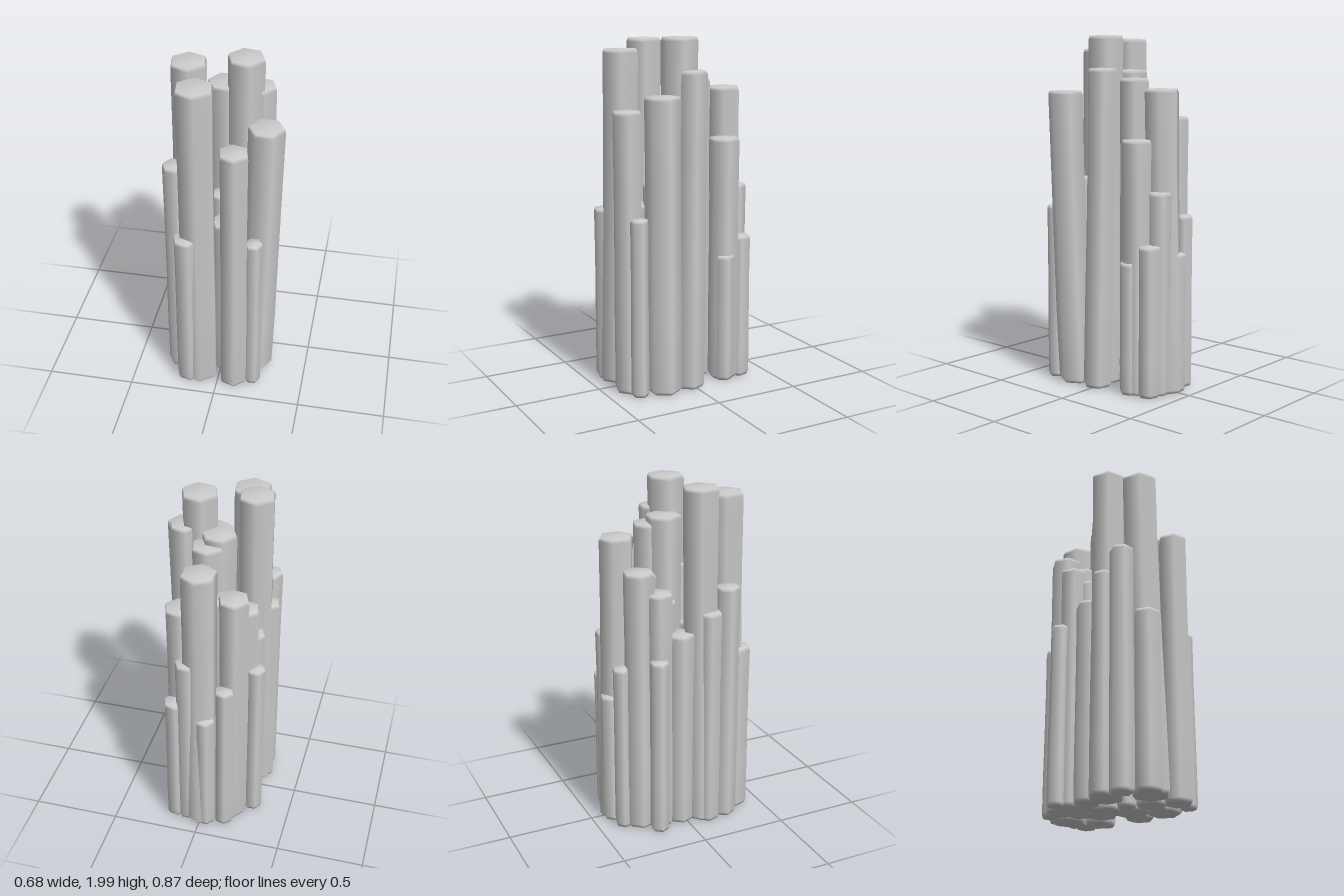
import * as THREE from 'three';

// Large columns that lean: top x, top z, radius, height, turn in degrees, base shift x, base shift z
const LEANING = [
  [0.1, 0.03, 0.105, 2, 20, -0.02, 0.02],
  [-0.195, 0.1, 0.105, 1.985, 10, -0.02, 0.01],
  [-0.13, 0.28, 0.11, 1.93, 8, 0.015, 0.045],
  [0.24, 0.21, 0.1, 1.695, 30, -0.045, -0.03],
  [0.175, -0.01, 0.085, 1.82, 20, 0.02, 0.025],
  [0.015, -0.305, 0.1, 1.71, 0, -0.01, -0.035],
];

// Upright columns: x, z, radius, height
const UPRIGHT = [
  [0.09, 0.35, 0.085, 1.61],
  [0.145, -0.235, 0.087, 1.435],
  [-0.025, -0.04, 0.1, 1.81],
  [0.02, -0.11, 0.092, 1.765],
  [-0.16, -0.25, 0.088, 1.55],
  [-0.07, -0.19, 0.08, 1.5],
  [-0.205, -0.15, 0.078, 1.43],
  [-0.14, -0.1, 0.075, 1.36],
  [-0.255, 0.245, 0.068, 1.43],
  [-0.27, 0.13, 0.068, 1.3],
  [-0.21, -0.02, 0.08, 1.18],
  [-0.275, -0.18, 0.053, 1.06],
  [-0.135, -0.345, 0.055, 1],
  [-0.03, -0.375, 0.058, 0.8],
  [0.08, -0.345, 0.066, 1.15],
  [0.155, -0.335, 0.065, 0.86],
  [0.185, -0.22, 0.056, 0.76],
  [0.2, 0.335, 0.05, 1.03],
  [-0.175, 0.355, 0.076, 1.03],
  [0.03, 0.22, 0.088, 1.08],
  [0.1, 0.205, 0.052, 1.2],
  [-0.03, 0.1, 0.055, 1.18],
  [0.08, 0.1, 0.066, 1.5],
];

// Six-sided shaft with softened ends, leaning from its base to its top
function columnGeometry(r, h, turn, dx, dz) {
  const base = 0.008;
  const profile = [
    [0, base], [r * 0.85, base], [r, base + 0.02],
    [r * 1.01, h * 0.25], [r * 0.98, h * 0.5], [r * 0.97, h * 0.75],
    [r, h - 0.025], [r * 0.93, h - 0.005], [0, h],
  ].map(([x, y]) => new THREE.Vector2(x, y));
  const geo = new THREE.LatheGeometry(profile, 6);
  geo.rotateY(THREE.MathUtils.degToRad(turn));
  const p = geo.attributes.position;
  for (let i = 0; i < p.count; i++) {
    const t = Math.max(0, 1 - p.getY(i) / h) ** 1.3;
    p.setX(i, p.getX(i) + dx * t);
    p.setZ(i, p.getZ(i) + dz * t);
  }
  return geo;
}

export function createModel() {
  const group = new THREE.Group();
  group.name = 'rockColumnCluster';
  const stone = new THREE.MeshStandardMaterial({ color: 0xcccccc });

  const addColumn = (name, x, z, r, h, turn, dx, dz) => {
    const column = new THREE.Mesh(columnGeometry(r, h, turn, dx, dz), stone);
    column.name = name;
    column.position.set(x, 0, z);
    group.add(column);
  };

  LEANING.forEach((c, i) => addColumn(`leaningColumn${i + 1}`, ...c));
  // Upright columns vary only in how far they are turned
  UPRIGHT.forEach((c, i) => addColumn(`uprightColumn${i + 1}`, ...c, 12 + (i * 7) % 20, 0, 0));
  return group;
}
